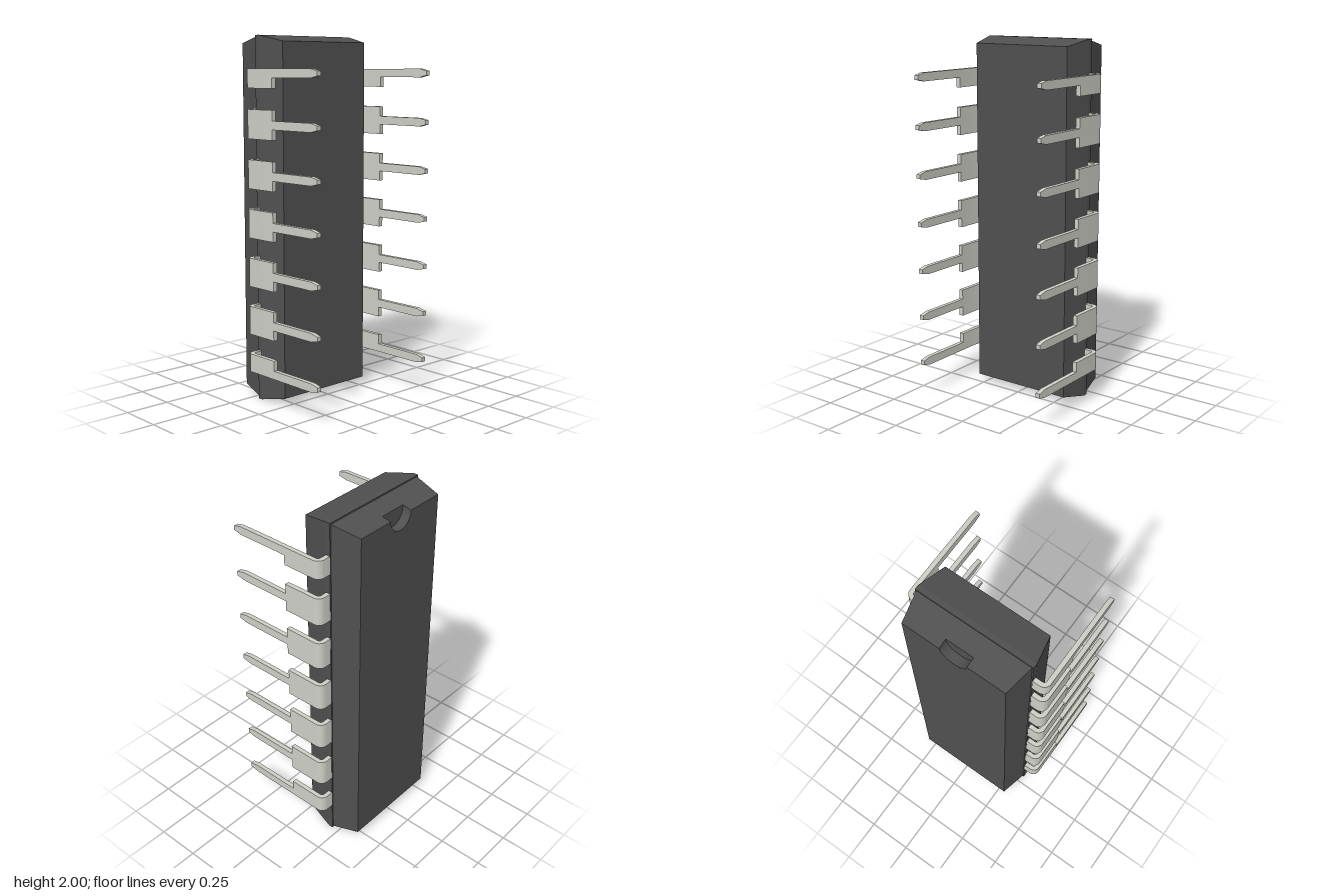
import * as THREE from 'three';
import { toCreasedNormals } from 'three/addons/utils/BufferGeometryUtils.js';

const HALF_W = 0.333, HEIGHT = 2;

const bodyMat = new THREE.MeshStandardMaterial({ color: 0x505050 });
const pinMat = new THREE.MeshStandardMaterial({ color: 0xcfcfc8 });

function addMesh(parent, name, geometry, material) {
  const mesh = new THREE.Mesh(toCreasedNormals(geometry, 0.5), material);
  mesh.name = name;
  parent.add(mesh);
}

// Tapered slab between two depths; each end is inset from the full outline.
function slab(zBack, insetBack, zFront, insetFront, notch = false) {
  const s = new THREE.Shape();
  s.moveTo(-HALF_W, 0);
  s.lineTo(HALF_W, 0);
  s.lineTo(HALF_W, HEIGHT);
  if (notch) {
    s.lineTo(0.078, HEIGHT);
    s.lineTo(0.078, 1.96);
    s.absarc(0, 1.96, 0.078, 0, Math.PI, true);
    s.lineTo(-0.078, HEIGHT);
  }
  s.lineTo(-HALF_W, HEIGHT);
  const geo = new THREE.ExtrudeGeometry(s, { depth: 1, bevelEnabled: false, curveSegments: 20 });
  const p = geo.attributes.position;
  for (let i = 0; i < p.count; i++) {
    const front = p.getZ(i) > 0.5;
    const inset = front ? insetFront : insetBack;
    const x = p.getX(i), y = p.getY(i);
    if (Math.abs(x) > 0.3) p.setX(i, Math.sign(x) * (HALF_W - inset));
    if (y > 1.99) p.setY(i, HEIGHT - inset);
    if (y < 0.01) p.setY(i, inset);
    p.setZ(i, front ? zFront : zBack);
  }
  return geo;
}

// Bent lead: wide L-shaped shoulder and a narrow blade with a tapered tip.
function makePin(low, high) {
  const pin = new THREE.Group();
  pin.name = 'pin';
  const xo = 0.411, t = 0.025, zTop = 0.207, r = 0.04;

  const bend = new THREE.Shape();
  bend.moveTo(0.3, zTop - t);
  bend.lineTo(xo - r, zTop - t);
  bend.absarc(xo - r, zTop - r, r - t, Math.PI / 2, 0, true);
  bend.lineTo(xo - t, -0.02);
  bend.lineTo(xo, -0.02);
  bend.lineTo(xo, zTop - r);
  bend.absarc(xo - r, zTop - r, r, 0, Math.PI / 2, false);
  bend.lineTo(0.3, zTop);
  const shoulder = new THREE.ExtrudeGeometry(bend, { depth: high - low, bevelEnabled: false, curveSegments: 8 });
  shoulder.rotateX(-Math.PI / 2).translate(0, low, 0);
  addMesh(pin, 'pinShoulder', shoulder, pinMat);

  const outline = new THREE.Shape([
    [0.02, -0.023], [0.318, -0.023], [0.365, -0.012],
    [0.365, 0.012], [0.318, 0.023], [0.02, 0.023],
  ].map(([z, y]) => new THREE.Vector2(z, y)));
  const blade = new THREE.ExtrudeGeometry(outline, { depth: t, bevelEnabled: false });
  blade.rotateY(-Math.PI / 2).translate(xo, 0, 0);
  addMesh(pin, 'pinBlade', blade, pinMat);
  return pin;
}

// Seven leads; the end ones have shoulders cut flush on the outer side.
function makePinRow(name) {
  const row = new THREE.Group();
  row.name = name;
  for (let i = -3; i <= 3; i++) {
    const pin = makePin(i === -3 ? -0.023 : -0.078, i === 3 ? 0.023 : 0.078);
    pin.position.y = 1 + i * 0.2665;
    row.add(pin);
  }
  return row;
}

export function createModel() {
  const model = new THREE.Group();
  model.name = 'chip';

  const body = new THREE.Group();
  body.name = 'body';
  addMesh(body, 'frontHalf', slab(-0.182, 0, -0.023, 0.034), bodyMat);
  addMesh(body, 'middleBand', slab(-0.208, 0, -0.182, 0), bodyMat);
  addMesh(body, 'backHalf', slab(-0.315, 0.0295, -0.208, 0.008), bodyMat);
  addMesh(body, 'notchedBack', slab(-0.367, 0.04, -0.315, 0.0295, true), bodyMat);
  model.add(body);

  const leftPins = makePinRow('leftPins');
  // The opposite row is the same row turned half round about the depth axis.
  const rightPins = makePinRow('rightPins');
  rightPins.rotation.z = Math.PI;
  rightPins.position.y = HEIGHT;
  model.add(leftPins, rightPins);
  return model;
}
